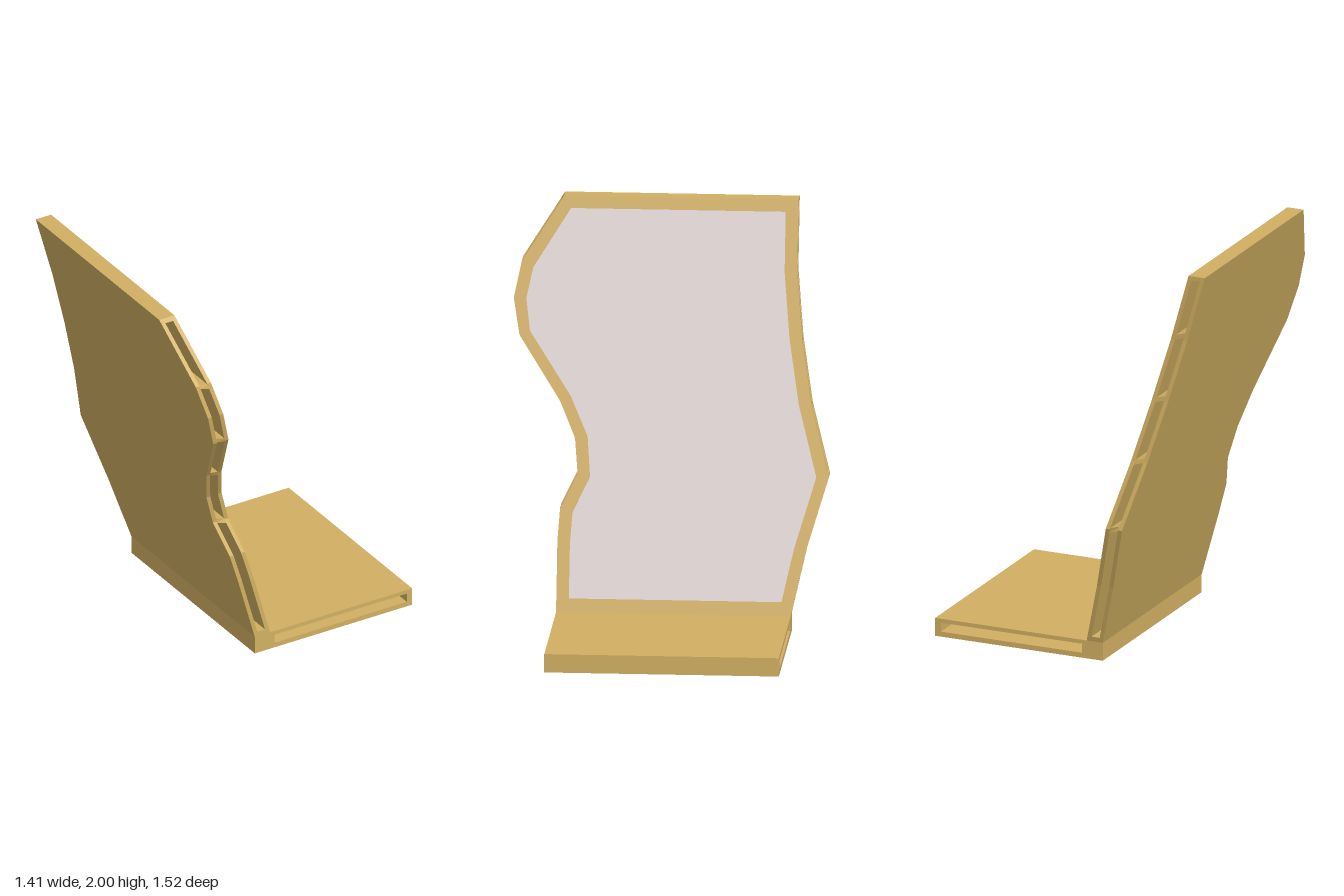
import * as THREE from 'three';

const LEAN = 0.28, BASE_TOP = 0.09, BACK_X = -0.17, DEPTH = 0.085, SKIN = 0.021;

// Panel edges as [z, y], bottom to top
const frontEdge = [[0.53, 0.09], [0.53, 0.42], [0.52, 0.57], [0.44, 0.73], [0.455, 0.89], [0.53, 1.06],
  [0.73, 1.36], [0.76, 1.53], [0.725, 1.7], [0.53, 2]];
const rearEdge = [[-0.59, 0.09], [-0.66, 0.4], [-0.76, 0.73], [-0.67, 1.06], [-0.62, 1.36], [-0.59, 1.67], [-0.59, 2]];

// Inset outline of the facing sheet
const sheetOutline = [[0.47, 0.155], [0.47, 0.41], [0.46, 0.55], [0.38, 0.715], [0.395, 0.9], [0.48, 1.085],
  [0.68, 1.38], [0.70, 1.53], [0.67, 1.67], [0.495, 1.945], [-0.53, 1.945], [-0.53, 1.67], [-0.56, 1.36],
  [-0.61, 1.06], [-0.70, 0.73], [-0.60, 0.4], [-0.545, 0.155]];

const edgeZ = (edge, y) => {
  for (let i = 1; i < edge.length; i++) {
    const [z0, y0] = edge[i - 1], [z1, y1] = edge[i];
    if (y <= y1) return z0 + (z1 - z0) * (y - y0) / (y1 - y0);
  }
  return edge[edge.length - 1][0];
};
const backX = (y) => BACK_X - LEAN * (y - BASE_TOP);

// Applies a rule to every vertex
function reshape(geo, rule) {
  const p = geo.attributes.position, v = new THREE.Vector3();
  for (let i = 0; i < p.count; i++) {
    rule(v.fromBufferAttribute(p, i));
    p.setXYZ(i, v.x, v.y, v.z);
  }
  geo.computeVertexNormals();
  return geo;
}

// Leaning sheet: a [z, y] outline extruded along x, then sheared
function leaningSheet(outline, u, thickness) {
  const shape = new THREE.Shape(outline.map(([z, y]) => new THREE.Vector2(-z, y)));
  const geo = new THREE.ExtrudeGeometry(shape, { depth: thickness, bevelEnabled: false }).rotateY(Math.PI / 2);
  return reshape(geo, (v) => { v.x += u + backX(v.y); });
}

// Rib between the two skins, ending flush with the panel edges
function ribGeometry(y, height, slope) {
  return reshape(new THREE.BoxGeometry(1, height, 1), (v) => {
    const u = v.x < 0 ? SKIN : DEPTH - SKIN;
    v.y += y - slope * (u - DEPTH / 2);
    v.z = edgeZ(v.z > 0 ? frontEdge : rearEdge, v.y);
    v.x = backX(v.y) + u;
  });
}

export function createModel() {
  const model = new THREE.Group();
  model.name = 'leaningPanelStand';
  const wood = new THREE.MeshStandardMaterial({ color: 0xd2b062, flatShading: true });
  const pale = new THREE.MeshStandardMaterial({ color: 0xe0d4d5, flatShading: true });
  const add = (name, geo, mat, parent = model) => {
    const mesh = new THREE.Mesh(geo, mat);
    mesh.name = name;
    parent.add(mesh);
  };

  // Hollow base, open at both ends
  const pts = (list) => list.map(([x, y]) => new THREE.Vector2(x, y));
  const profile = new THREE.Shape(pts([[BACK_X, 0], [0.71, 0], [0.71, BASE_TOP], [BACK_X, BASE_TOP]]));
  profile.holes.push(new THREE.Path(pts([[-0.06, 0.025], [-0.06, 0.07], [0.68, 0.07], [0.68, 0.025]])));
  add('base', new THREE.ExtrudeGeometry(profile, { depth: 1.12, bevelEnabled: false }).translate(0, 0, -0.59), wood);

  // Hollow leaning panel: two skins joined by ribs
  const panel = new THREE.Group();
  panel.name = 'leaningPanel';
  model.add(panel);
  const outline = [...frontEdge, ...[...rearEdge].reverse()];
  add('backSkin', leaningSheet(outline, 0, SKIN), wood, panel);
  add('frontSkin', leaningSheet(outline, DEPTH - SKIN, SKIN), wood, panel);
  [0.73, 1.06, 1.37, 1.69].forEach((y, i) => add(`rib${i + 1}`, ribGeometry(y, 0.024, LEAN), wood, panel));
  add('bottomRail', ribGeometry(0.1025, 0.025, 0), wood, panel);
  add('topRail', ribGeometry(1.99, 0.02, 0), wood, panel);

  // Pale sheet on the panel's face
  add('facingSheet', leaningSheet(sheetOutline, DEPTH - 0.001, 0.003), pale, panel);
  return model;
}
